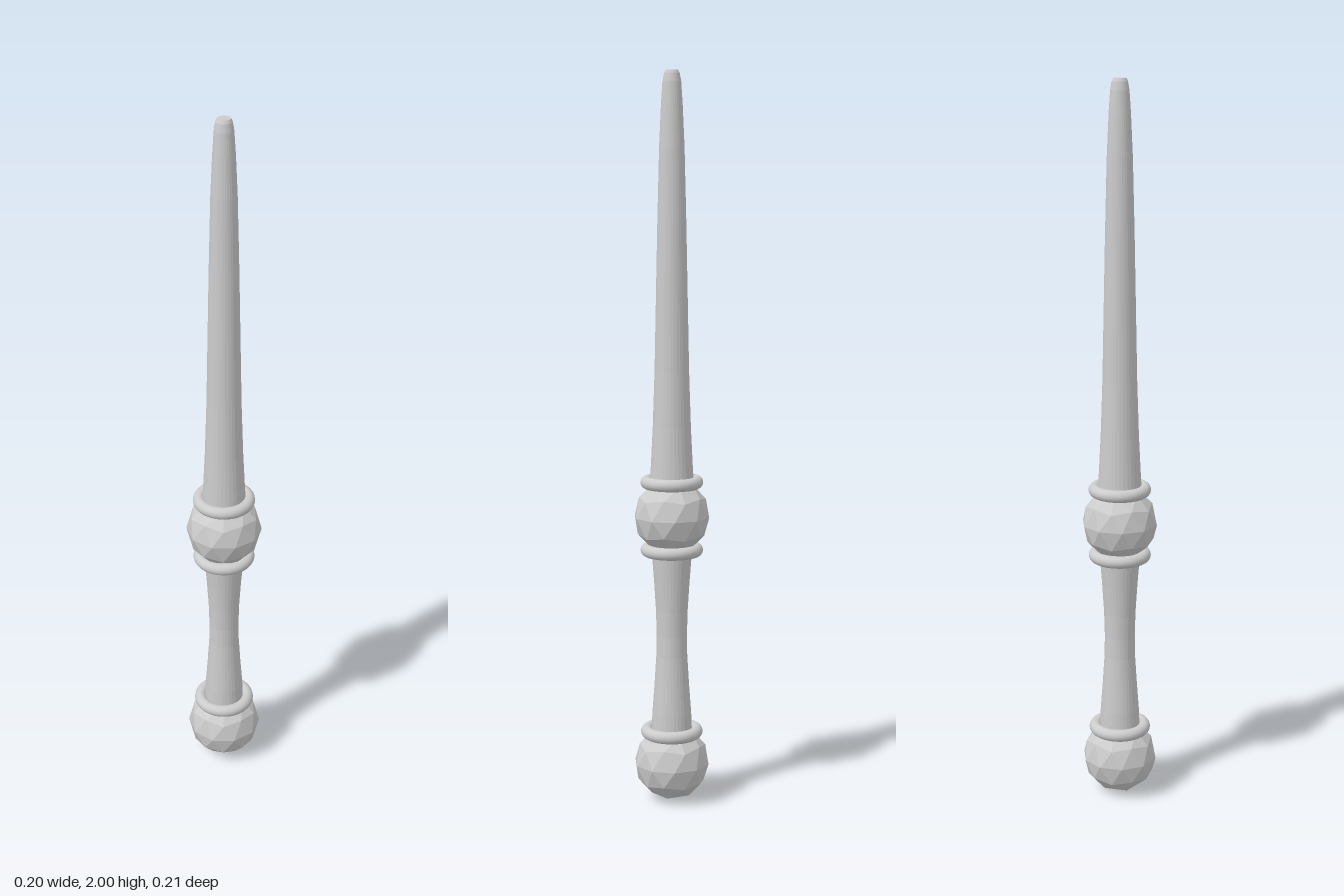
import * as THREE from 'three';

const smooth = new THREE.MeshStandardMaterial({ color: 0xcccccc });
const faceted = new THREE.MeshStandardMaterial({ color: 0xcccccc, flatShading: true });

export function createModel() {
  const model = new THREE.Group();
  model.name = 'wand';

  const add = (name, geometry, material, y = 0) => {
    const mesh = new THREE.Mesh(geometry, material);
    mesh.name = name;
    mesh.position.y = y;
    model.add(mesh);
  };

  // Turned wooden parts from [radius, height] profiles, bottom to top
  const turned = (name, profile) =>
    add(name, new THREE.LatheGeometry(profile.map(([r, y]) => new THREE.Vector2(r, y)), 32), faceted);

  // Faceted ball with one vertex pointing straight up
  const ball = (name, y) => {
    const geometry = new THREE.IcosahedronGeometry(0.105, 1);
    geometry.rotateZ(-Math.atan(2 / (1 + Math.sqrt(5))));
    add(name, geometry, faceted, y);
  };

  // Rounded collar ring
  const ring = (name, y) =>
    add(name, new THREE.TorusGeometry(0.069, 0.017, 16, 48).rotateX(Math.PI / 2), smooth, y);

  // Handle, narrowest at mid height
  turned('handle', [
    [0, 0.18], [0.057, 0.18], [0.054, 0.25], [0.048, 0.33], [0.043, 0.41],
    [0.042, 0.47], [0.044, 0.54], [0.049, 0.62], [0.056, 0.71], [0, 0.71],
  ]);

  // Tapering shaft with a rounded blunt tip
  turned('shaft', [
    [0, 0.88], [0.061, 0.88], [0.057, 0.95], [0.052, 1.05], [0.047, 1.2], [0.043, 1.4],
    [0.039, 1.6], [0.034, 1.8], [0.029, 1.91], [0.025, 1.97], [0.021, 1.992], [0.017, 2], [0, 2],
  ]);

  ball('pommelBall', 0.105);
  ball('guardBall', 0.802);
  ring('pommelRing', 0.194);
  ring('lowerGuardRing', 0.709);
  ring('upperGuardRing', 0.897);

  return model;
}
